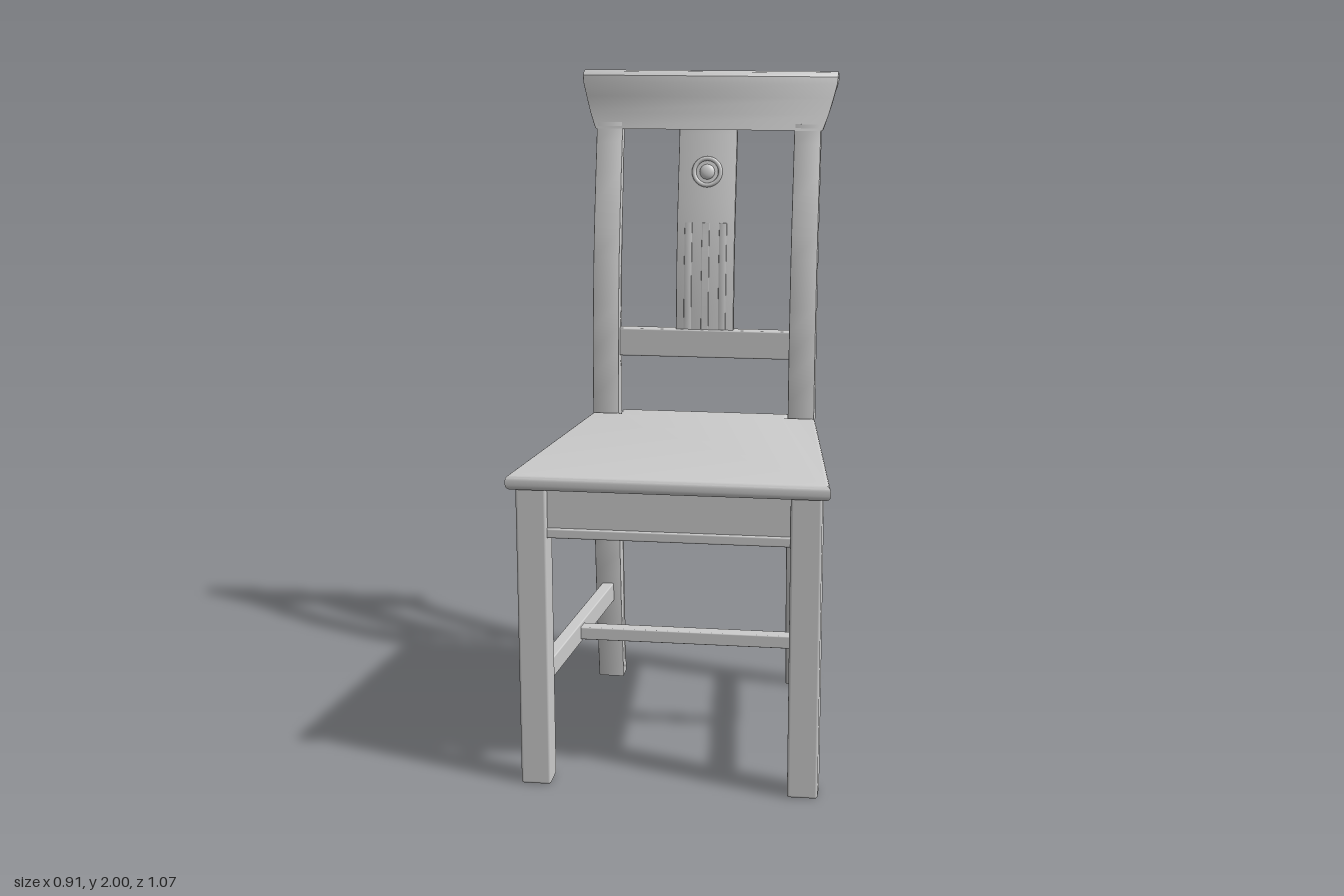
import * as THREE from 'three';
import { RoundedBoxGeometry } from 'three/addons/geometries/RoundedBoxGeometry.js';
import { toCreasedNormals } from 'three/addons/utils/BufferGeometryUtils.js';

const material = new THREE.MeshStandardMaterial({ color: 0xcccccc });

export function createModel() {
  const chair = new THREE.Group();
  chair.name = 'chair';

  const add = (name, geometry) => {
    const mesh = new THREE.Mesh(geometry, material);
    mesh.name = name;
    chair.add(mesh);
    return mesh;
  };

  // Box given by its limits on each axis, with softened edges
  const block = (name, [x0, x1], [y0, y1], [z0, z1], r = 0.005) => {
    const g = new RoundedBoxGeometry(x1 - x0, y1 - y0, z1 - z0, 2, r);
    g.translate((x0 + x1) / 2, (y0 + y1) / 2, (z0 + z1) / 2);
    return add(name, g);
  };

  // Straight bar between two centre points, h high and w wide
  const bar = (name, a, b, h, w) => {
    const from = new THREE.Vector3(...a), to = new THREE.Vector3(...b);
    const g = new RoundedBoxGeometry(w, h, from.distanceTo(to), 2, 0.004);
    const mesh = add(name, g);
    mesh.position.copy(from).add(to).multiplyScalar(0.5);
    mesh.lookAt(to);
    return mesh;
  };

  // Side profile of [z, y] points extruded across x
  const profile = (points, x0, x1, bevel = 0.004) => {
    const shape = new THREE.Shape(points.map(([z, y]) => new THREE.Vector2(z, y)));
    const g = new THREE.ExtrudeGeometry(shape, {
      depth: x1 - x0 - 2 * bevel, bevelEnabled: bevel > 0, bevelSize: bevel,
      bevelOffset: -bevel, bevelThickness: bevel, bevelSegments: 2,
    });
    g.rotateY(-Math.PI / 2);
    g.translate(x1 - bevel, 0, 0);
    return g;
  };

  // Curved lines of the back: front and rear face of a post
  const curve = (pts) => new THREE.SplineCurve(pts.map(([z, y]) => new THREE.Vector2(z, y)));
  const sample = (c, n = 24) => c.getPoints(n).map((p) => [p.x, p.y]);
  const frontFace = curve([[-0.36, 0], [-0.322, 0.3], [-0.304, 0.6], [-0.305, 0.9],
    [-0.318, 1.2], [-0.358, 1.5], [-0.437, 1.84]]);
  const rearFace = curve([[-0.415, 0], [-0.391, 0.3], [-0.378, 0.6], [-0.375, 0.9],
    [-0.381, 1.2], [-0.412, 1.5], [-0.476, 1.84]]);
  const postPoints = [...sample(rearFace), ...sample(frontFace).reverse()];

  for (const [side, s] of [['left', 1], ['right', -1]]) {
    const span = (a, b) => (s > 0 ? [a, b] : [-b, -a]);
    add(side + 'BackPost', toCreasedNormals(profile(postPoints, ...span(0.272, 0.356)), 0.5));
    block(side + 'FrontLeg', span(0.345, 0.433), [0, 0.905], [0.425, 0.51], 0.008);
    bar(side + 'Apron', [s * 0.398, 0.835, 0.44], [s * 0.325, 0.815, -0.32], 0.14, 0.035);
    bar(side + 'ApronBead', [s * 0.398, 0.767, 0.44], [s * 0.325, 0.747, -0.32], 0.028, 0.045);
    bar(side + 'Stretcher', [s * 0.385, 0.31, 0.44], [s * 0.315, 0.31, -0.335], 0.062, 0.038);
    // Diagonal blocks under the seat corners
    bar(side + 'FrontCornerBrace', [s * 0.385, 0.83, 0.3], [s * 0.24, 0.83, 0.475], 0.06, 0.03);
    bar(side + 'BackCornerBrace', [s * 0.335, 0.82, -0.2], [s * 0.2, 0.82, -0.345], 0.06, 0.03);
  }
  bar('crossStretcher', [-0.35, 0.31, 0.055], [0.35, 0.31, 0.055], 0.04, 0.045);

  // Front and back aprons with their beads
  block('frontApron', [-0.36, 0.36], [0.775, 0.905], [0.455, 0.492]);
  block('frontApronBead', [-0.36, 0.36], [0.75, 0.779], [0.455, 0.5]);
  block('backApron', [-0.28, 0.28], [0.74, 0.89], [-0.365, -0.33]);

  // Seat board: wider in front, narrowed to sit between the posts, tilted back
  const edge = 0.016;
  const outline = [[0.44, 0.514], [0.346, -0.294], [0.256, -0.294], [0.256, -0.355]];
  const seatShape = new THREE.Shape();
  [...outline, ...outline.slice().reverse().map(([x, z]) => [-x, z])]
    .forEach(([x, z], i) => (i ? seatShape.lineTo(x, -z) : seatShape.moveTo(x, -z)));
  const seat = new THREE.ExtrudeGeometry(seatShape, {
    depth: 0.013, bevelSize: edge, bevelThickness: edge, bevelSegments: 4,
  });
  seat.rotateX(-Math.PI / 2);
  seat.translate(0, 0.895 + edge, 0);
  const sp = seat.attributes.position;
  for (let i = 0; i < sp.count; i++) sp.setY(i, sp.getY(i) + (sp.getZ(i) - 0.53) * 0.018);
  add('seat', toCreasedNormals(seat, 0.6));

  // Lower back rail
  block('lowerBackRail', [-0.28, 0.28], [1.105, 1.195], [-0.381, -0.34]);

  // Back splat following the curve of the posts
  const splatLine = curve([[-0.346, 1.17], [-0.357, 1.35], [-0.384, 1.55], [-0.45, 1.85]]);
  const slab = (front, back) => [
    ...sample(splatLine, 14).map(([z, y]) => [z - back, y]),
    ...sample(splatLine, 14).reverse().map(([z, y]) => [z + front, y]),
  ];
  add('splat', toCreasedNormals(profile(slab(0, 0.024), -0.092, 0.092, 0.003), 0.5));
  // Shallow raised reeds on the lower splat
  const reedLine = sample(splatLine, 14).slice(1, 10);
  const reedPoints = [...reedLine.map(([z, y]) => [z - 0.004, y]),
    ...reedLine.slice().reverse().map(([z, y]) => [z + 0.004, y])];
  for (const x of [-0.055, 0, 0.055]) {
    add('splatReed', toCreasedNormals(profile(reedPoints, x - 0.012, x + 0.012, 0.002), 0.5));
  }
  // Carved rosette
  const rosette = new THREE.Group();
  rosette.name = 'rosette';
  const ring = new THREE.Mesh(new THREE.TorusGeometry(0.042, 0.007, 8, 32), material);
  ring.name = 'rosetteRing';
  const boss = new THREE.Mesh(new THREE.SphereGeometry(0.024, 20, 12), material);
  boss.name = 'rosetteBoss';
  boss.scale.z = 0.45;
  rosette.add(ring, boss);
  rosette.position.set(0, 1.69, -0.412);
  rosette.rotation.x = -0.21;
  chair.add(rosette);

  // Crest rail with a rolled top, flaring outwards as it rises
  const crest = [[-0.478, 1.82], [-0.487, 1.9], [-0.491, 1.943]];
  for (let i = 0; i <= 14; i++) {
    const a = -Math.PI * 0.6 - (i / 14) * Math.PI * 0.9;
    crest.push([-0.505 + 0.031 * Math.cos(a), 1.969 + 0.031 * Math.sin(a)]);
  }
  crest.push([-0.482, 1.997], [-0.468, 1.985], [-0.463, 1.965], [-0.456, 1.92],
    [-0.445, 1.87], [-0.432, 1.82]);
  const crestGeometry = profile(crest.reverse(), -0.5, 0.5, 0.003);
  const cp = crestGeometry.attributes.position;
  for (let i = 0; i < cp.count; i++) {
    const t = Math.min(1, Math.max(0, (cp.getY(i) - 1.82) / 0.15));
    cp.setX(i, cp.getX(i) * 2 * (0.36 + 0.045 * Math.pow(t, 0.8)));
  }
  add('crestRail', toCreasedNormals(crestGeometry, 0.6));

  return chair;
}
